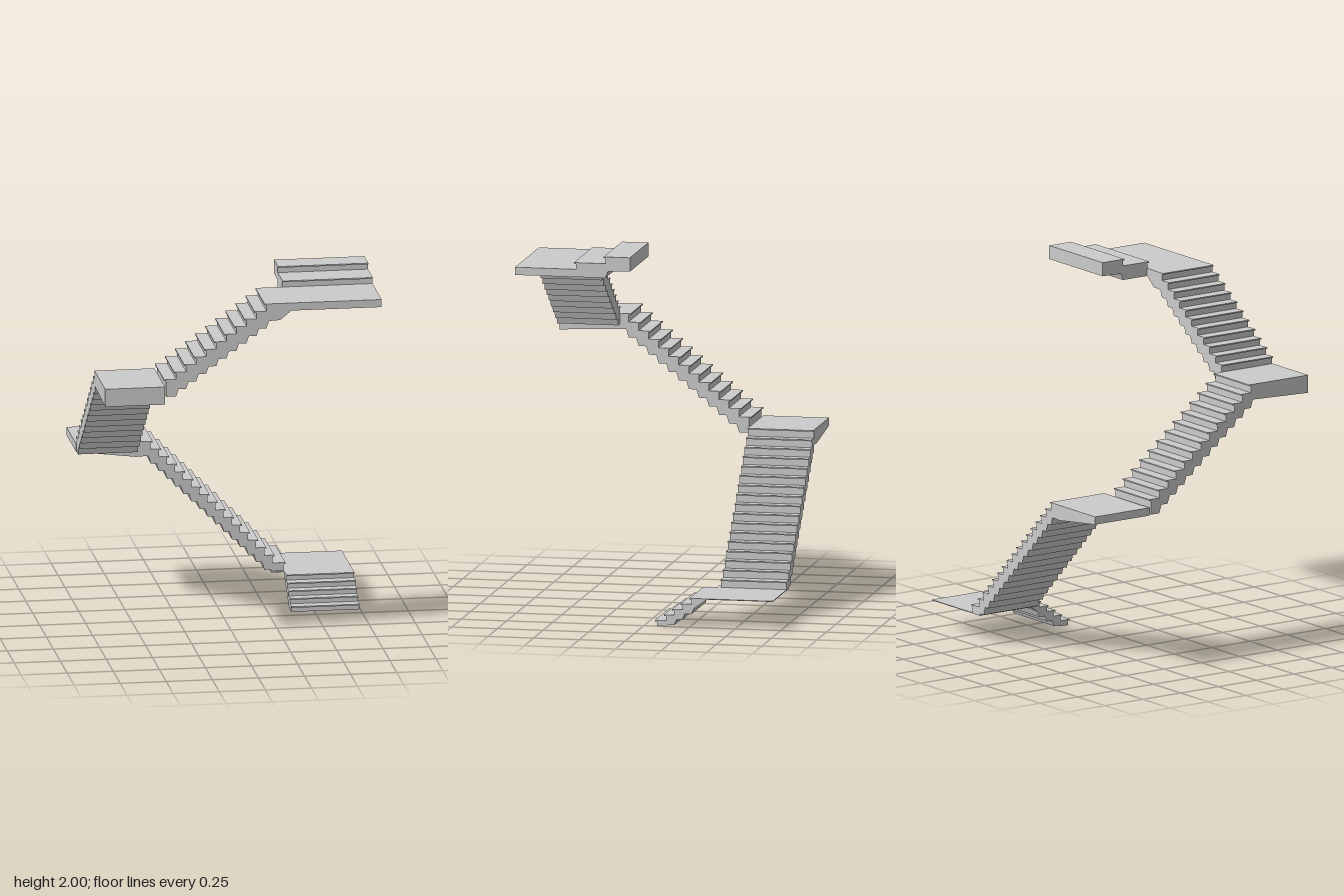
import * as THREE from 'three';

const even = (from, to, count) =>
  Array.from({ length: count }, (_, i) => from + (to - from) * i / (count - 1));

// One flight plus the landing it reaches, as a side profile swept across its width.
// noses: tread edges along the climb; y0, y1: heights before and after;
// t: depth from tread to underside; tail: landing outline, top to bottom.
function flight(name, { noses, y0, y1, t, tail, floor = 0, width, angle, at }) {
  const n = noses.length, lip = 0.011, lipH = 0.007;
  const tread = i => y0 + (y1 - y0) * (i + 1) / n;
  const under = i => Math.max(tread(i) - t, floor);
  const pts = [[noses[0] + lip, under(0)]];
  // risers set back below thin overhanging noses
  noses.forEach((s, i) => {
    if (i > 0) pts.push([s + lip, tread(i - 1)]);
    pts.push([s + lip, tread(i) - lipH], [s, tread(i) - lipH], [s, tread(i)]);
  });
  pts.push(...tail);
  // stepped underside, back down to the start
  for (let i = n - 1; i > 0; i--) {
    pts.push([noses[i] + 0.024, under(i)], [noses[i] + 0.01, under(i - 1)]);
  }
  const shape = new THREE.Shape(pts.map(p => new THREE.Vector2(p[0], p[1])));
  const geo = new THREE.ExtrudeGeometry(shape, { depth: width, bevelEnabled: false });
  const mesh = new THREE.Mesh(geo, new THREE.MeshStandardMaterial({
    color: 0xcccccc, flatShading: true, side: THREE.DoubleSide }));
  mesh.name = name;
  mesh.rotation.y = angle;
  mesh.position.set(at[0], 0, at[1]);
  return mesh;
}

function plate(name, x0, x1, z0, z1, y) {
  const mesh = new THREE.Mesh(new THREE.BoxGeometry(x1 - x0, 0.004, z1 - z0),
    new THREE.MeshStandardMaterial({ color: 0xcccccc, flatShading: true }));
  mesh.name = name;
  mesh.position.set((x0 + x1) / 2, y - 0.002, (z0 + z1) / 2);
  return mesh;
}

export function createModel() {
  const group = new THREE.Group();
  group.name = 'staircase';
  const q = Math.PI / 2;

  group.add(
    // short entry flight, climbing toward the back
    flight('entryFlight', {
      noses: [0.06, 0.11, 0.155, 0.2, 0.25], y0: 0, y1: 0.157, t: 0.055,
      tail: [[0.345, 0.157], [0.345, 0.153]],
      width: 0.37, angle: q, at: [0.375, 0] }),
    // thin first landing and its small corner strip
    plate('firstLanding', 0.305, 0.745, -0.705, -0.345, 0.157),
    plate('firstLandingCorner', 0.305, 0.375, -0.345, -0.325, 0.157),
    // long back flight with the second landing
    flight('backFlight', {
      noses: [-0.385, ...even(-0.325, 0.335, 16)], y0: 0.157, y1: 0.903, t: 0.08, floor: 0.154,
      tail: [[0.75, 0.903], [0.75, 0.86], [0.425, 0.82]],
      width: 0.36, angle: Math.PI, at: [0, -0.345] }),
    // side flight with the third landing
    flight('sideFlight', {
      noses: even(-0.345, 0.315, 13), y0: 0.903, y1: 1.488, t: 0.084,
      tail: [[0.705, 1.488], [0.705, 1.39]],
      width: 0.325, angle: -q, at: [-0.425, 0] }),
    // front flight with the fourth landing
    flight('frontFlight', {
      noses: even(-0.43, 0.115, 11), y0: 1.488, y1: 1.927, t: 0.095,
      tail: [[0.75, 1.927], [0.75, 1.885], [0.26, 1.885], [0.2, 1.835]],
      width: 0.335, angle: 0, at: [0, 0.37] }),
    // last two steps
    flight('topSteps', {
      noses: [-0.383, -0.22], y0: 1.927, y1: 2, t: 0.078,
      tail: [[-0.075, 2], [-0.075, 1.925]],
      width: 0.49, angle: q, at: [0.26, 0] })
  );
  return group;
}
